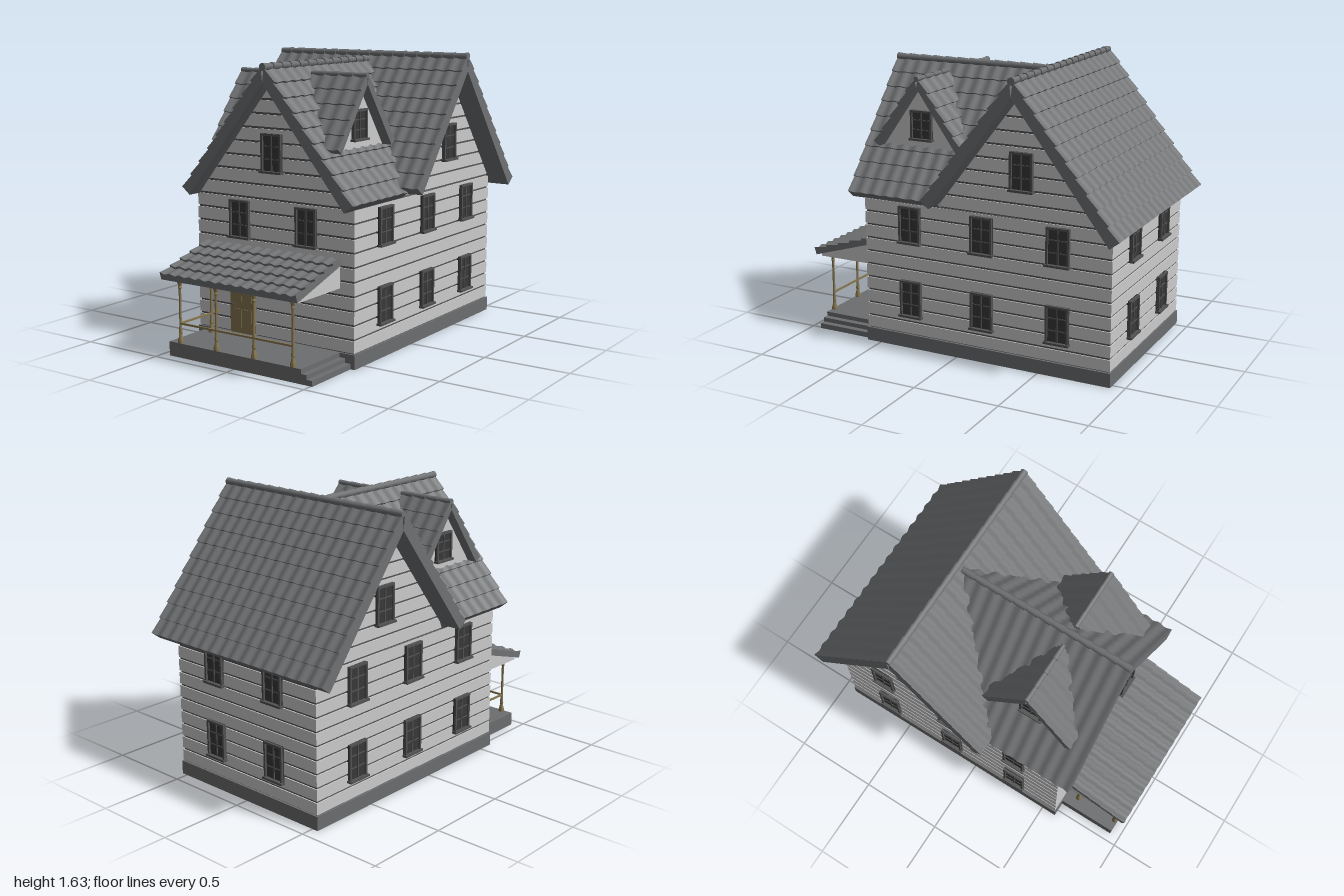
import * as THREE from 'three';
import { toCreasedNormals } from 'three/addons/utils/BufferGeometryUtils.js';

const mat = (color) => new THREE.MeshStandardMaterial({ color });
const siding = mat(0xcccccc), groove = mat(0x555555), roof = mat(0x707274), stone = mat(0x6c6d6f);
const frame = mat(0x525252), glass = mat(0x383838), wood = mat(0x857650);

function add(parent, name, geo, material, x = 0, y = 0, z = 0) {
  const m = new THREE.Mesh(geo, material);
  m.name = name;
  m.position.set(x, y, z);
  parent.add(m);
  return m;
}

// Box given by its min and max corners
function box(parent, name, material, x0, x1, y0, y1, z0, z1) {
  return add(parent, name, new THREE.BoxGeometry(x1 - x0, y1 - y0, z1 - z0), material,
    (x0 + x1) / 2, (y0 + y1) / 2, (z0 + z1) / 2);
}

function prism(pts, depth) {
  const shape = new THREE.Shape(pts.map(([x, y]) => new THREE.Vector2(x, y)));
  return new THREE.ExtrudeGeometry(shape, { depth, bevelEnabled: false });
}

// Tiled roof slab falling toward +z from a ridge along x.
// u0 and u1 are [at ridge, at eave] positions of its two side edges.
function slopeGeometry(u0, u1, run, drop, rows, t, pitch = 0.082) {
  const L = Math.hypot(run, drop), a = drop / L, b = run / L, d = L / rows;
  const lo = Math.min(...u0), hi = Math.max(...u1);
  const n = Math.round((hi - lo) / pitch) * 8;
  const courses = [[0, null]];
  for (let r = 0; r < rows; r++) courses.push([r * d, 0.002], [(r + 1) * d, 0.014]);
  courses.push([L, null]);

  const place = (u, v, h) => {
    if (h < 0) v = Math.max(v, t * a / b);
    const k = v / L;
    u = Math.min(Math.max(u, u0[0] + (u0[1] - u0[0]) * k), u1[0] + (u1[1] - u1[0]) * k);
    return [u, h * b - v * a, v * b + h * a];
  };
  const point = (j, i) => {
    const [v, lift] = courses[j];
    const c = Math.min(Math.max(i, 0), n);
    const border = lift === null || i < 0 || i > n;
    const h = border ? -t : lift + 0.005 + 0.005 * Math.cos((c / 8) * Math.PI * 2);
    return place(lo + (hi - lo) * c / n, v, h);
  };
  const pos = [];
  const quad = (p, q, r, s) => pos.push(...p, ...q, ...r, ...p, ...r, ...s);
  for (let j = 0; j < courses.length - 1; j++)
    for (let i = -1; i <= n; i++)
      quad(point(j, i), point(j + 1, i), point(j + 1, i + 1), point(j, i + 1));
  quad(place(lo, 0, -t), place(hi, 0, -t), place(hi, L, -t), place(lo, L, -t));
  const g = new THREE.BufferGeometry();
  g.setAttribute('position', new THREE.Float32BufferAttribute(pos, 3));
  return toCreasedNormals(g, 0.7);
}

function slope(parent, name, [x, y, z], angle, ...dims) {
  add(parent, name, slopeGeometry(...dims), roof, x, y, z).rotation.y = angle;
}

// Overlapping rounded caps along a ridge
function ridgeCaps(parent, from, to, radius) {
  const a = new THREE.Vector3(...from), b = new THREE.Vector3(...to);
  const dir = b.clone().sub(a), count = Math.round(dir.length() / 0.082), len = dir.length() / count;
  const geo = new THREE.CylinderGeometry(radius, radius * 0.75, len, 10);
  dir.normalize();
  for (let i = 0; i < count; i++) {
    const m = add(parent, 'ridgeCap', geo, roof);
    m.position.copy(a).addScaledVector(dir, (i + 0.5) * len);
    m.quaternion.setFromUnitVectors(new THREE.Vector3(0, 1, 0), dir);
  }
}

// Window facing +z at angle 0, its sill at y
function windowUnit(parent, x, y, z, angle, h = 0.21, w = 0.135) {
  const g = new THREE.Group();
  g.name = 'window';
  g.position.set(x, y, z);
  g.rotation.y = angle;
  const r = w / 2, f = 0.012;
  box(g, 'glass', glass, -r, r, 0, h, -0.01, 0.008);
  for (const s of [-1, 1]) box(g, 'jamb', frame, s * (r - f / 2) - f / 2, s * (r - f / 2) + f / 2, 0, h, -0.01, 0.02);
  box(g, 'head', frame, -r, r, h - f, h, -0.01, 0.02);
  box(g, 'sill', frame, -r - 0.006, r + 0.006, -0.006, 0.006, -0.01, 0.03);
  box(g, 'mullion', frame, -0.004, 0.004, 0, h, -0.01, 0.013);
  for (const k of [1 / 3, 2 / 3]) box(g, 'glazingBar', frame, -r, r, h * k - 0.003, h * k + 0.003, -0.01, 0.012);
  parent.add(g);
}

function walls(house) {
  const g = new THREE.Group();
  g.name = 'walls';
  house.add(g);
  const top = 0.86, step = 0.078, inset = 0.007;
  box(g, 'wallCore', groove, -0.53 + inset, 0.53 - inset, 0.08, top, -0.92 + inset, 0.585 - inset);
  for (let i = 0; i < 10; i++) {
    const y = 0.08 + i * step;
    box(g, 'board', siding, -0.53, 0.53, y + 0.006, y + step - 0.006, -0.92, 0.585);
  }
  // Gables: the front one runs along z, the cross one along x
  const gables = [
    { apex: 1.535, k: 1.243, max: 0.53, from: [0, 0, -0.4], depth: 0.985, angle: 0 },
    { apex: 1.56, k: 1.3, max: 0.525, from: [-0.53, 0, -0.395], depth: 1.06, angle: Math.PI / 2 },
  ];
  for (const { apex, k, max, from, depth, angle } of gables) {
    const gable = new THREE.Group();
    gable.name = 'gable';
    gable.position.set(...from);
    gable.rotation.y = angle;
    g.add(gable);
    const w = (y) => Math.min(max, (apex - y) / k);
    const tri = [[-w(top), top - 0.01], [w(top), top - 0.01], [0, apex]];
    add(gable, 'gableCore', prism(tri, depth - 2 * inset), groove, 0, 0, inset);
    for (let y = top; y + 0.02 < apex; y += step) {
      const y0 = y + 0.006, y1 = Math.min(y + step - 0.006, apex - 0.005);
      add(gable, 'gableBoard', prism([[-w(y0), y0], [w(y0), y0], [w(y1), y1], [-w(y1), y1]], depth), siding);
    }
  }
  // Windows on all four sides
  for (const y of [0.195, 0.63]) {
    for (const s of [-1, 1]) {
      for (const z of [0.29, -0.16, -0.615]) windowUnit(g, s * 0.53, y, z, s * Math.PI / 2);
      windowUnit(g, s * 0.225, y, -0.92, Math.PI);
      if (y > 0.5) windowUnit(g, s * 0.225, y, 0.585, 0);
    }
  }
  windowUnit(g, 0, 1.012, 0.585, 0);
  for (const s of [-1, 1]) windowUnit(g, s * 0.53, 1.012, -0.4, s * Math.PI / 2);
}

function roofs(house) {
  const g = new THREE.Group();
  g.name = 'roof';
  house.add(g);
  const H = Math.PI / 2, x = [-0.655, -0.655], X = [0.655, 0.655];
  slope(g, 'mainRoofFront', [0, 1.6, -0.395], 0, x, X, 0.53, 0.692, 9, 0.045);
  slope(g, 'mainRoofBack', [0, 1.6, -0.395], Math.PI, x, X, 0.59, 0.77, 10, 0.045);
  ridgeCaps(g, [-0.655, 1.612, -0.395], [0.655, 1.612, -0.395], 0.022);
  // Front wing, cut along the valleys
  slope(g, 'wingRoofLeft', [0, 1.57, 0], H, [-0.67, -0.67], [0.4, -0.1], 0.555, 0.69, 9, 0.045);
  slope(g, 'wingRoofRight', [0, 1.57, 0], -H, [-0.4, 0.1], [0.67, 0.67], 0.555, 0.69, 9, 0.045);
  ridgeCaps(g, [0, 1.583, -0.37], [0, 1.583, 0.67], 0.022);
  // Dormers on both sides of the wing
  for (const s of [-1, 1]) {
    const d = new THREE.Group();
    d.name = 'dormer';
    g.add(d);
    const lo = s > 0 ? 0.07 : -0.425, hi = s > 0 ? 0.425 : -0.07;
    slope(d, 'dormerRoofFront', [0, 1.525, 0.3], 0, [lo, lo], [hi, hi], 0.265, 0.375, 5, 0.022);
    slope(d, 'dormerRoofBack', [0, 1.525, 0.3], Math.PI, [-hi, -hi], [-lo, -lo], 0.265, 0.375, 5, 0.022);
    ridgeCaps(d, [s * 0.06, 1.535, 0.3], [s * 0.425, 1.535, 0.3], 0.016);
    const wall = add(d, 'dormerWall', prism([[-0.255, 1.14], [0.255, 1.14], [0, 1.505]], 0.25), siding, s * 0.115, 0, 0.3);
    wall.rotation.y = s * H;
    windowUnit(d, s * 0.365, 1.187, 0.3, s * H, 0.165);
  }
}

function porch(house) {
  const g = new THREE.Group();
  g.name = 'porch';
  house.add(g);
  box(g, 'porchFloor', stone, -0.45, 0.44, 0, 0.08, 0.58, 0.94);
  box(g, 'step', stone, 0.43, 0.475, 0, 0.055, 0.58, 0.94);
  box(g, 'step', stone, 0.47, 0.51, 0, 0.03, 0.58, 0.94);
  // Lean-to roof with closed ends
  slope(g, 'porchRoof', [0, 0.582, 0.585], 0, [-0.455, -0.455], [0.455, 0.455], 0.41, 0.125, 5, 0.02, 0.07);
  const ends = prism([[-0.58, 0.43], [-0.58, 0.572], [-0.96, 0.455], [-0.96, 0.43]], 0.88);
  add(g, 'porchCeiling', ends, siding, -0.44).rotation.y = Math.PI / 2;
  // Turned posts and rails
  const profile = [[0, 0], [0.017, 0], [0.017, 0.012], [0.012, 0.03], [0.008, 0.05], [0.011, 0.055], [0.007, 0.1],
    [0.007, 0.3], [0.011, 0.31], [0.008, 0.32], [0.015, 0.34], [0.015, 0.352], [0, 0.352]];
  const post = toCreasedNormals(new THREE.LatheGeometry(profile.map(([r, y]) => new THREE.Vector2(r, y)), 12), 0.6);
  for (const x of [-0.38, -0.127, 0.127, 0.38]) add(g, 'post', post, wood, x, 0.08, 0.925);
  add(g, 'post', post, wood, -0.38, 0.08, 0.665);
  box(g, 'frontRail', wood, -0.38, 0.38, 0.184, 0.194, 0.92, 0.93);
  box(g, 'sideRail', wood, -0.385, -0.375, 0.184, 0.194, 0.585, 0.925);
  // Front door
  box(g, 'door', wood, -0.3, -0.125, 0.08, 0.425, 0.57, 0.592);
  for (const [y0, y1] of [[0.11, 0.22], [0.26, 0.395]])
    for (const x of [-0.275, -0.203]) box(g, 'doorPanel', wood, x, x + 0.053, y0, y1, 0.585, 0.596);
  box(g, 'doorHandle', frame, -0.293, -0.268, 0.24, 0.248, 0.59, 0.604);
}

export function createModel() {
  const house = new THREE.Group();
  house.name = 'house';
  box(house, 'foundation', stone, -0.537, 0.537, 0, 0.08, -0.925, 0.59);
  walls(house);
  roofs(house);
  porch(house);
  return house;
}
